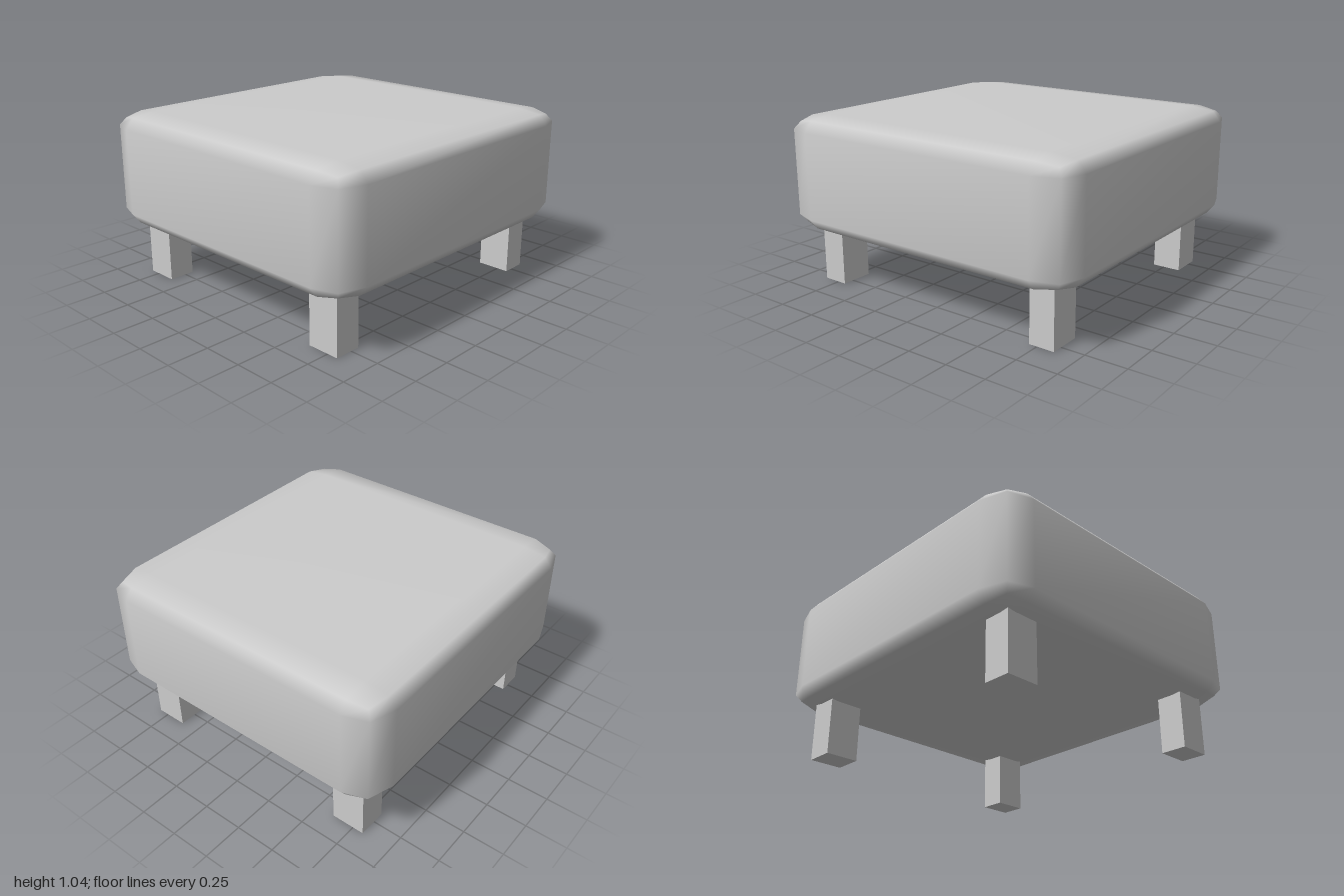
import * as THREE from 'three';
import { mergeVertices } from 'three/addons/utils/BufferGeometryUtils.js';

// Half sizes [x, y, z] of the cushion: where the flat panels end, and how far
// the panels, the rounded edges and the corners reach.
const INNER = [0.77, 0.265, 0.795];
const FACE = [0.965, 0.347, 1.0];
const EDGE = [0.915, 0.328, 0.95];
const CORNER = [0.885, 0.31, 0.92];

// A box of 3 x 3 panels per side, its outer rows pulled in to round it
function cushionGeometry() {
  const box = new THREE.BoxGeometry(2, 2, 2, 3, 3, 3);
  box.deleteAttribute('uv');
  box.deleteAttribute('normal');
  const geometry = mergeVertices(box);
  const pos = geometry.attributes.position;
  for (let i = 0; i < pos.count; i++) {
    const p = [pos.getX(i), pos.getY(i), pos.getZ(i)];
    const outer = p.map((c) => Math.abs(c) > 0.9);
    const reach = [FACE, EDGE, CORNER][outer.filter(Boolean).length - 1];
    pos.setXYZ(i, ...p.map((c, k) => Math.sign(c) * (outer[k] ? reach : INNER)[k]));
  }
  geometry.computeVertexNormals();
  return geometry;
}

export function createModel() {
  const group = new THREE.Group();
  const material = new THREE.MeshStandardMaterial({ color: 0xcccccc });

  const cushion = new THREE.Mesh(cushionGeometry(), material);
  cushion.name = 'cushion';
  cushion.position.y = 0.692;
  group.add(cushion);

  // Square-cut legs, tucked slightly into the cushion
  const legHeight = 0.37;
  const legs = [
    ['frontLeftLeg', 1, 1, 0.615, 0.695],
    ['frontRightLeg', -1, 1, 0.615, 0.695],
    ['backLeftLeg', 1, -1, 0.615, 0.7],
    ['backRightLeg', -1, -1, 0.61, 0.68],
  ];
  for (const [name, sx, sz, innerX, innerZ] of legs) {
    const outerX = 0.817, outerZ = 0.855;
    const leg = new THREE.Mesh(
      new THREE.BoxGeometry(outerX - innerX, legHeight, outerZ - innerZ), material);
    leg.name = name;
    leg.position.set(sx * (outerX + innerX) / 2, legHeight / 2, sz * (outerZ + innerZ) / 2);
    group.add(leg);
  }
  return group;
}
